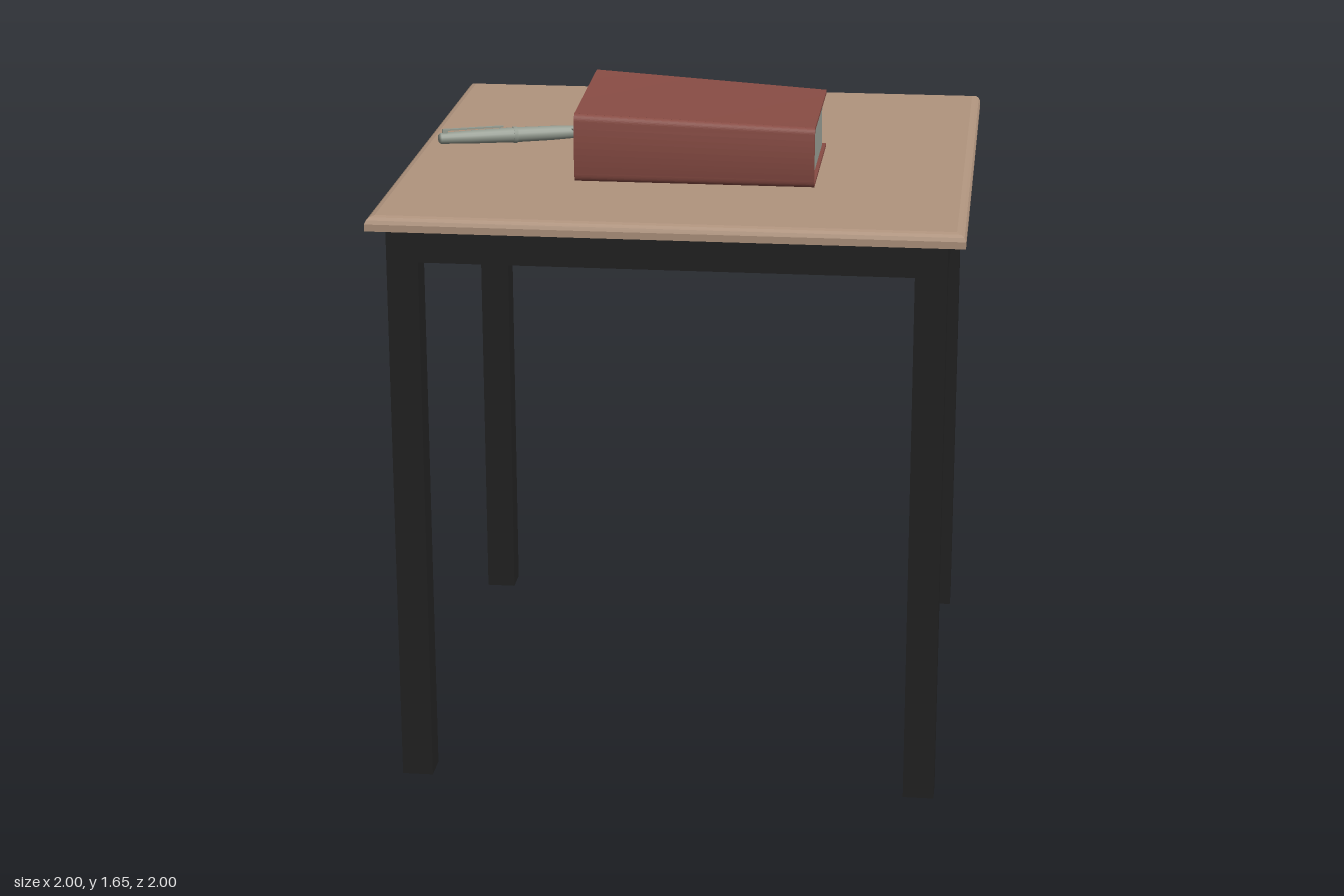
import * as THREE from 'three';

const material = (name, color) => {
  const m = new THREE.MeshStandardMaterial({ color });
  m.name = name;
  return m;
};

export function createModel() {
  const wood = material('wood', 0xb0947e);
  const black = material('black metal', 0x222222);
  const red = material('red cover', 0x884c44);
  const paper = material('paper', 0x9ba096);
  const silver = material('pen silver', 0x959c91);
  paper.side = THREE.DoubleSide;

  const add = (parent, name, geometry, mat, x = 0, y = 0, z = 0) => {
    const mesh = new THREE.Mesh(geometry, mat);
    mesh.name = name;
    mesh.position.set(x, y, z);
    parent.add(mesh);
    return mesh;
  };
  const group = (parent, name, x = 0, y = 0, z = 0) => {
    const g = new THREE.Group();
    g.name = name;
    g.position.set(x, y, z);
    parent?.add(g);
    return g;
  };

  const model = group(null, 'deskWithBookAndPen');
  const desk = group(model, 'desk');
  desk.rotation.y = -0.74;

  // Square top with a softened upper edge
  const half = 0.708, topY = 1.46;
  const profile = [[0, 1.425], [half, 1.425], [half, 1.442], [half - 0.004, 1.451],
    [half - 0.011, 1.457], [half - 0.022, topY], [0, topY]]
    .map(([r, y]) => new THREE.Vector2(r * Math.SQRT2, y));
  const topGeo = new THREE.LatheGeometry(profile, 4).rotateY(Math.PI / 4).toNonIndexed();
  topGeo.computeVertexNormals();
  add(desk, 'tableTop', topGeo, wood);

  // Four legs joined by four rails
  const leg = 0.076, legAt = 0.628, frameTop = 1.425, railH = 0.085;
  for (let i = 0; i < 4; i++) {
    const side = group(desk, 'frameSide');
    side.rotation.y = i * Math.PI / 2;
    add(side, 'leg', new THREE.BoxGeometry(leg, frameTop, leg), black, legAt, frameTop / 2, legAt);
    add(side, 'rail', new THREE.BoxGeometry(2 * legAt - leg, railH, leg), black,
      0, frameTop - railH / 2, legAt);
  }

  // Book: spine faces +z, page ends face +x and -x
  const book = group(desk, 'book', 0.033, topY, 0.122);

  // Makes the book slightly thicker towards -x; lift raises the free edge of the upper cover
  const swell = (geometry, lift = 0) => {
    const p = geometry.attributes.position;
    for (let i = 0; i < p.count; i++) {
      const x = p.getX(i), y = p.getY(i), z = p.getZ(i);
      const free = (0.2 - z) / 0.4;
      p.setY(i, y * (1 - 0.215 * x) + lift * free * (0.009 - 0.03 * x));
    }
    geometry.computeVertexNormals();
    return geometry;
  };
  // Extrudes a (z, y) outline along x, centred
  const alongX = (shape, length) =>
    new THREE.ExtrudeGeometry(shape, { depth: length, bevelEnabled: false, curveSegments: 8 })
      .rotateY(-Math.PI / 2).translate(length / 2, 0, 0);

  const pages = new THREE.Shape();
  pages.moveTo(-0.192, 0.008);
  pages.lineTo(0.196, 0.008);
  pages.quadraticCurveTo(0.206, 0.077, 0.196, 0.147);
  pages.lineTo(-0.192, 0.147);
  pages.quadraticCurveTo(-0.168, 0.077, -0.192, 0.008);
  add(book, 'pages', swell(alongX(pages, 0.572)), paper);

  const spine = new THREE.Shape();
  spine.moveTo(0.19, 0);
  spine.lineTo(0.2, 0);
  spine.quadraticCurveTo(0.208, 0.004, 0.209, 0.02);
  spine.quadraticCurveTo(0.217, 0.079, 0.209, 0.14);
  spine.quadraticCurveTo(0.208, 0.154, 0.196, 0.158);
  spine.lineTo(0.19, 0.158);
  spine.lineTo(0.19, 0.15);
  spine.quadraticCurveTo(0.21, 0.079, 0.19, 0.008);
  add(book, 'spine', swell(alongX(spine, 0.59)), red);

  add(book, 'lowerCover', new THREE.BoxGeometry(0.59, 0.008, 0.406), red, 0, 0.004, -0.006);
  const upper = new THREE.BoxGeometry(0.59, 0.009, 0.404, 6, 1, 6).translate(0, 0.1535, -0.006);
  add(book, 'upperCover', swell(upper, 1), red);

  // Paper corner sticking out between the pages
  const slip = new THREE.Shape([[-0.27, 0], [-0.329, 0.013], [-0.27, 0.142]]
    .map(([x, z]) => new THREE.Vector2(x, -z)));
  add(book, 'bookmark', new THREE.ExtrudeGeometry(slip, { depth: 0.003, bevelEnabled: false })
    .rotateX(-Math.PI / 2), paper, 0, 0.082, 0);

  // Pen lying along its own +x, tip at the far end
  const pen = group(model, 'pen', -0.51, 1.485, -0.412);
  pen.rotation.set(0, -0.325, -0.025);
  const turned = (points) => new THREE.LatheGeometry(
    points.map(([x, r]) => new THREE.Vector2(r, x)), 16).rotateZ(-Math.PI / 2);
  add(pen, 'penBody', turned([[0, 0], [0.001, 0.01], [0.006, 0.014], [0.08, 0.017], [0.2, 0.0195],
    [0.3, 0.0185], [0.39, 0.015], [0.445, 0.011], [0.445, 0]]), silver);
  add(pen, 'penBand', turned([[0.196, 0.019], [0.196, 0.0212], [0.206, 0.0212], [0.206, 0.019]]), silver);
  add(pen, 'penTip', turned([[0.443, 0], [0.443, 0.0115], [0.462, 0.009], [0.486, 0.002], [0.488, 0]]), black);
  const clip = add(pen, 'penClip', new THREE.BoxGeometry(0.16, 0.004, 0.009), silver, 0.09, 0.0225, 0);
  clip.rotation.z = 0.01;
  add(pen, 'clipMount', new THREE.BoxGeometry(0.014, 0.012, 0.009), silver, 0.017, 0.017, 0);

  return model;
}
